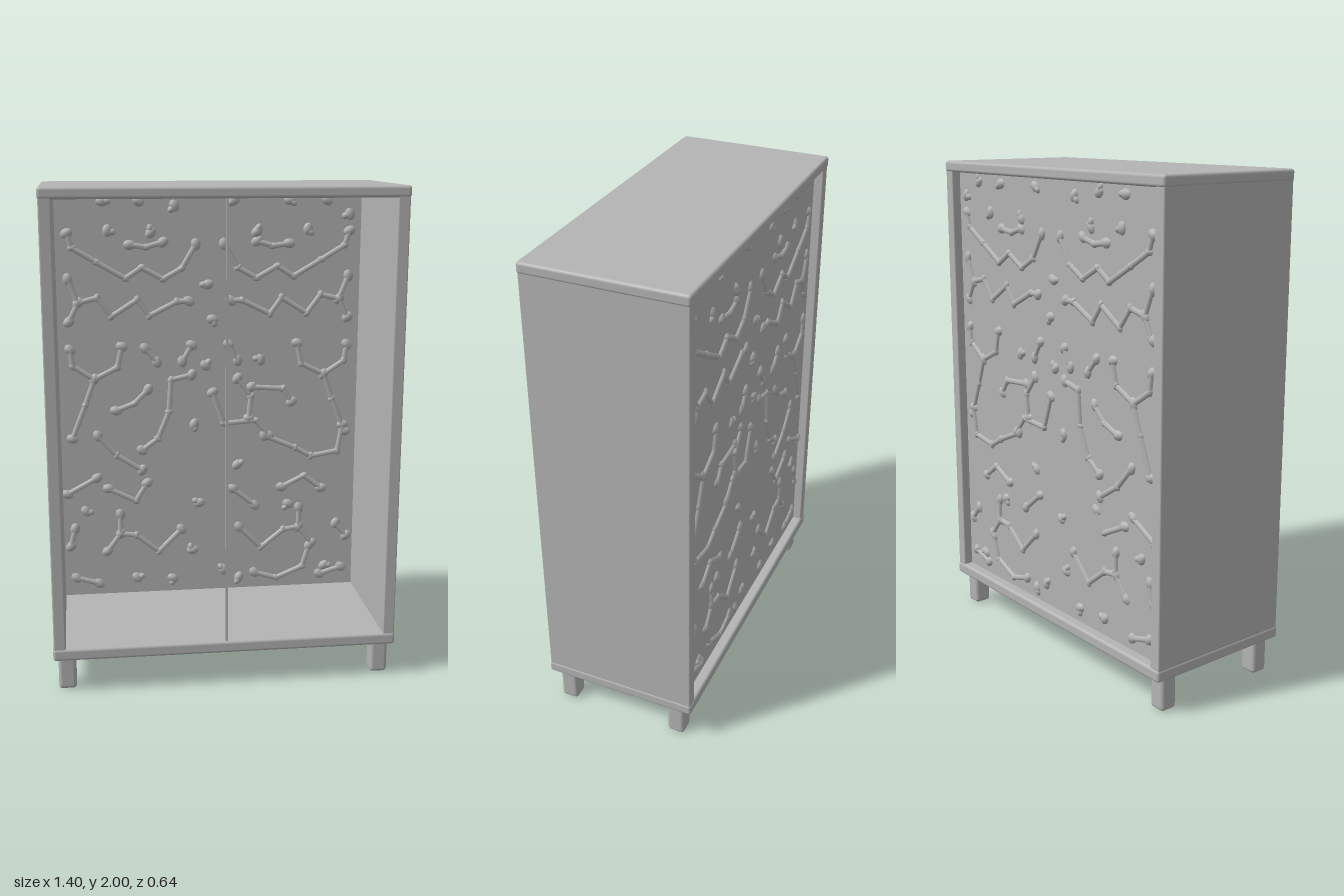
import * as THREE from 'three';
import { mergeGeometries } from 'three/addons/utils/BufferGeometryUtils.js';
import { RoundedBoxGeometry } from 'three/addons/geometries/RoundedBoxGeometry.js';

const grey = new THREE.MeshStandardMaterial({ color: 0xb4b4b4 });
grey.name = 'grey';

const PANEL_Z = -0.268;

// Raised branches on the back panel (x, y pairs); these appear on both halves
const mirrored = [
  [-0.6, 1.79, -0.58, 1.73, -0.48, 1.67, -0.36, 1.6, -0.29, 1.645, -0.2, 1.595, -0.12, 1.64, -0.06, 1.74],
  [-0.6, 1.6, -0.56, 1.5, -0.6, 1.42],
  [-0.56, 1.5, -0.48, 1.52, -0.42, 1.44, -0.31, 1.51, -0.26, 1.44, -0.14, 1.5, -0.09, 1.5],
  [-0.6, 1.3, -0.59, 1.23, -0.5, 1.17, -0.54, 1.06, -0.6, 0.91],
  [-0.5, 1.17, -0.4, 1.22, -0.38, 1.31],
  [-0.34, 1.74, -0.27, 1.73, -0.2, 1.75],
  [-0.12, 1.24, -0.08, 1.31],
  [-0.4, 0.56, -0.4, 0.47, -0.33, 0.46, -0.23, 0.38, -0.13, 0.48],
  [-0.4, 0.47, -0.46, 0.39],
  [-0.6, 0.27, -0.5, 0.24],
];
const leftOnly = [
  [-0.08, 1.18, -0.17, 1.16, -0.18, 1.02, -0.23, 0.9, -0.3, 0.85],
  [-0.49, 0.92, -0.41, 0.83, -0.3, 0.76],
  [-0.41, 1.03, -0.33, 1.06, -0.27, 1.12],
  [-0.63, 0.66, -0.5, 0.73],
  [-0.45, 0.68, -0.33, 0.62, -0.28, 0.7],
  [-0.28, 1.3, -0.23, 1.24],
  [-0.6, 0.5, -0.62, 0.42],
];
const rightOnly = [
  [0.01, 1.1, 0.06, 0.96, 0.2, 0.97, 0.26, 0.9],
  [0.12, 1.16, 0.18, 1.08, 0.17, 0.98],
  [0.18, 1.12, 0.32, 1.11, 0.36, 1.05],
  [0.24, 0.9, 0.38, 0.84, 0.45, 0.8, 0.57, 0.82, 0.59, 0.94],
  [0.32, 0.66, 0.42, 0.71, 0.5, 0.65],
  [0.1, 0.66, 0.2, 0.58],
  [0.2, 0.26, 0.3, 0.23, 0.42, 0.28, 0.45, 0.38],
  [0.57, 0.48, 0.62, 0.42],
];
// Small single lumps (x, y pairs)
const lumps = [
  -0.45, 1.92, -0.3, 1.92, -0.15, 1.9, -0.43, 1.8, -0.25, 1.79, 0.1, 1.92, 0.34, 1.92, 0.5, 1.92, 0.6, 1.86,
  0.42, 1.8, 0.2, 1.79, -0.01, 1.57, 0.01, 1.42, -0.02, 1.22, 0.22, 1.24, -0.07, 0.96, 0.12, 0.77, -0.05, 0.6,
  -0.17, 0.25, -0.33, 0.26, 0.06, 0.28, 0.13, 0.24, 0.52, 0.28, -0.08, 0.38, 0.35, 0.58, -0.55, 0.58,
];

function addMesh(parent, name, geometry, x = 0, y = 0, z = 0) {
  const m = new THREE.Mesh(geometry, grey);
  m.name = name;
  m.position.set(x, y, z);
  parent.add(m);
  return m;
}

// Rounded knob piercing the panel
function knob(x, y, r, turn) {
  return new THREE.SphereGeometry(r, 8, 6).scale(1.25, 0.9, 1).rotateZ(turn)
    .scale(1, 1, 0.024 / r).translate(x, y, 0);
}

// Rounded bars along a path, with a knob at every joint
function branch(path, side) {
  const parts = [];
  for (let i = 0; i < path.length; i += 2) {
    const x = path[i] * side, y = path[i + 1];
    const isEnd = i === 0 || i === path.length - 2;
    parts.push(knob(x, y, isEnd ? 0.026 : 0.018, i * 1.7 + y * 9));
    if (i + 2 < path.length) {
      const dx = path[i + 2] * side - x, dy = path[i + 3] - y;
      parts.push(new THREE.CylinderGeometry(0.014, 0.014, Math.hypot(dx, dy), 8, 1, true)
        .scale(1, 1, 1.55).rotateZ(Math.atan2(dy, dx) - Math.PI / 2)
        .translate(x + dx / 2, y + dy / 2, 0));
    }
  }
  return parts;
}

export function createModel() {
  const group = new THREE.Group();
  group.name = 'cabinet';

  // Case
  addMesh(group, 'top', new RoundedBoxGeometry(1.4, 0.045, 0.64, 3, 0.012), 0, 1.9775, 0);
  addMesh(group, 'bottom', new RoundedBoxGeometry(1.4, 0.05, 0.64, 3, 0.012), 0, 0.165, 0);
  for (const s of [-1, 1]) {
    addMesh(group, s > 0 ? 'leftSide' : 'rightSide',
      new RoundedBoxGeometry(0.048, 1.82, 0.632, 2, 0.006), s * 0.673, 1.07, 0);
  }

  // Thin upright in the middle of the open front
  addMesh(group, 'frontDivider', new THREE.BoxGeometry(0.01, 1.78, 0.01), 0, 1.07, 0.307);

  // Back panel with a relief standing out on both faces
  addMesh(group, 'backPanel', new THREE.BoxGeometry(1.31, 1.78, 0.02), 0, 1.07, PANEL_Z);
  const relief = [];
  for (const p of mirrored) relief.push(...branch(p, 1), ...branch(p, -1));
  for (const p of [...leftOnly, ...rightOnly]) relief.push(...branch(p, 1));
  for (let i = 0; i < lumps.length; i += 2) {
    relief.push(knob(lumps[i], lumps[i + 1], 0.026, i * 1.3));
    relief.push(knob(lumps[i] + 0.018 * Math.cos(i), lumps[i + 1] + 0.018 * Math.sin(i), 0.018, i));
  }
  addMesh(group, 'relief', mergeGeometries(relief), 0, 0, PANEL_Z);

  // Legs
  for (const x of [-0.645, 0.645]) {
    for (const z of [-0.245, 0.245]) {
      addMesh(group, z > 0 ? 'frontLeg' : 'backLeg',
        new RoundedBoxGeometry(0.072, 0.16, 0.072, 3, 0.015), x, 0.08, z);
    }
  }
  return group;
}
